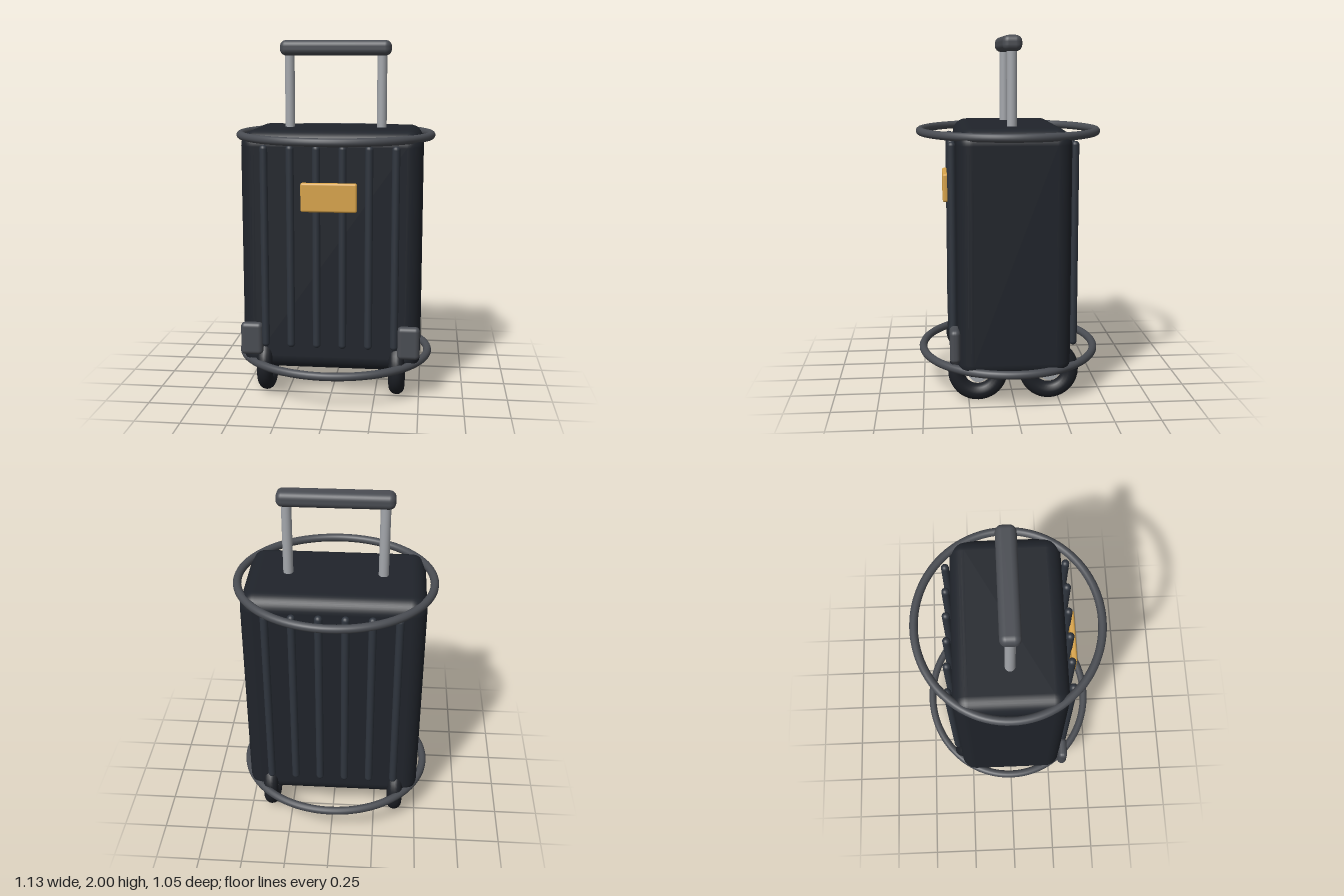
import * as THREE from 'three';
import { RoundedBoxGeometry } from 'three/addons/geometries/RoundedBoxGeometry.js';

const paint = (color) => new THREE.MeshStandardMaterial({ color });

export function createModel() {
  const model = new THREE.Group();
  model.name = 'suitcase';

  const shell = paint(0x20242b);
  const ribPaint = paint(0x2f353e);
  const trim = paint(0x4a4d53);
  const rubber = paint(0x1d2026);
  const metal = paint(0xa4a7ac);
  const brass = paint(0xd9a44a);

  function add(name, geometry, material, x, y, z, parent = model) {
    const mesh = new THREE.Mesh(geometry, material);
    mesh.name = name;
    mesh.position.set(x, y, z);
    parent.add(mesh);
    return mesh;
  }

  // Case body
  add('body', new RoundedBoxGeometry(1.005, 1.36, 0.616, 5, 0.085), shell, 0, 0.832, 0);

  // Vertical ribs, six on the front and six on the back
  const ribGeometry = new THREE.CapsuleGeometry(0.022, 1.096, 6, 16);
  for (const z of [0.332, -0.334]) {
    for (let i = 0; i < 6; i++) {
      add(z > 0 ? 'frontRib' : 'backRib', ribGeometry, ribPaint, (i - 2.5) * 0.144, 0.87, z);
    }
  }

  // Oval bumper hoops around the top and bottom
  class Oval extends THREE.Curve {
    getPoint(t, target = new THREE.Vector3()) {
      const a = t * Math.PI * 2;
      return target.set(0.545 * Math.cos(a), 0, 0.503 * Math.sin(a));
    }
  }
  const hoopGeometry = new THREE.TubeGeometry(new Oval(), 96, 0.023, 14, true);
  add('topHoop', hoopGeometry, trim, 0, 1.472, 0);
  add('bottomHoop', hoopGeometry, trim, 0, 0.197, 0);

  // Pull handle
  const rodGeometry = new THREE.CylinderGeometry(0.028, 0.028, 0.52, 20);
  for (const side of [-1, 1]) add('handleRod', rodGeometry, metal, side * 0.263, 1.69, 0);
  add('handleGrip', new RoundedBoxGeometry(0.63, 0.086, 0.108, 4, 0.035), trim, 0, 1.957, 0);

  // Name plate
  add('plate', new RoundedBoxGeometry(0.308, 0.16, 0.032, 3, 0.012), brass, 0, 1.16, 0.363);

  // Lower front corner guards
  const guardGeometry = new RoundedBoxGeometry(0.125, 0.187, 0.056, 4, 0.025);
  for (const side of [-1, 1]) add('cornerGuard', guardGeometry, trim, side * 0.44, 0.343, 0.325);

  // Wheels: tyre and hub
  const tyreGeometry = new THREE.TorusGeometry(0.121, 0.045, 16, 40).rotateY(Math.PI / 2);
  const hubGeometry = new THREE.CylinderGeometry(0.055, 0.055, 0.07, 24).rotateZ(Math.PI / 2);
  for (const x of [-0.374, 0.374]) {
    for (const z of [-0.197, 0.197]) {
      const wheel = new THREE.Group();
      wheel.name = 'wheel';
      wheel.position.set(x, 0.168, z);
      add('tyre', tyreGeometry, rubber, 0, 0, 0, wheel);
      add('hub', hubGeometry, metal, 0, 0, 0, wheel);
      model.add(wheel);
    }
  }

  return model;
}
